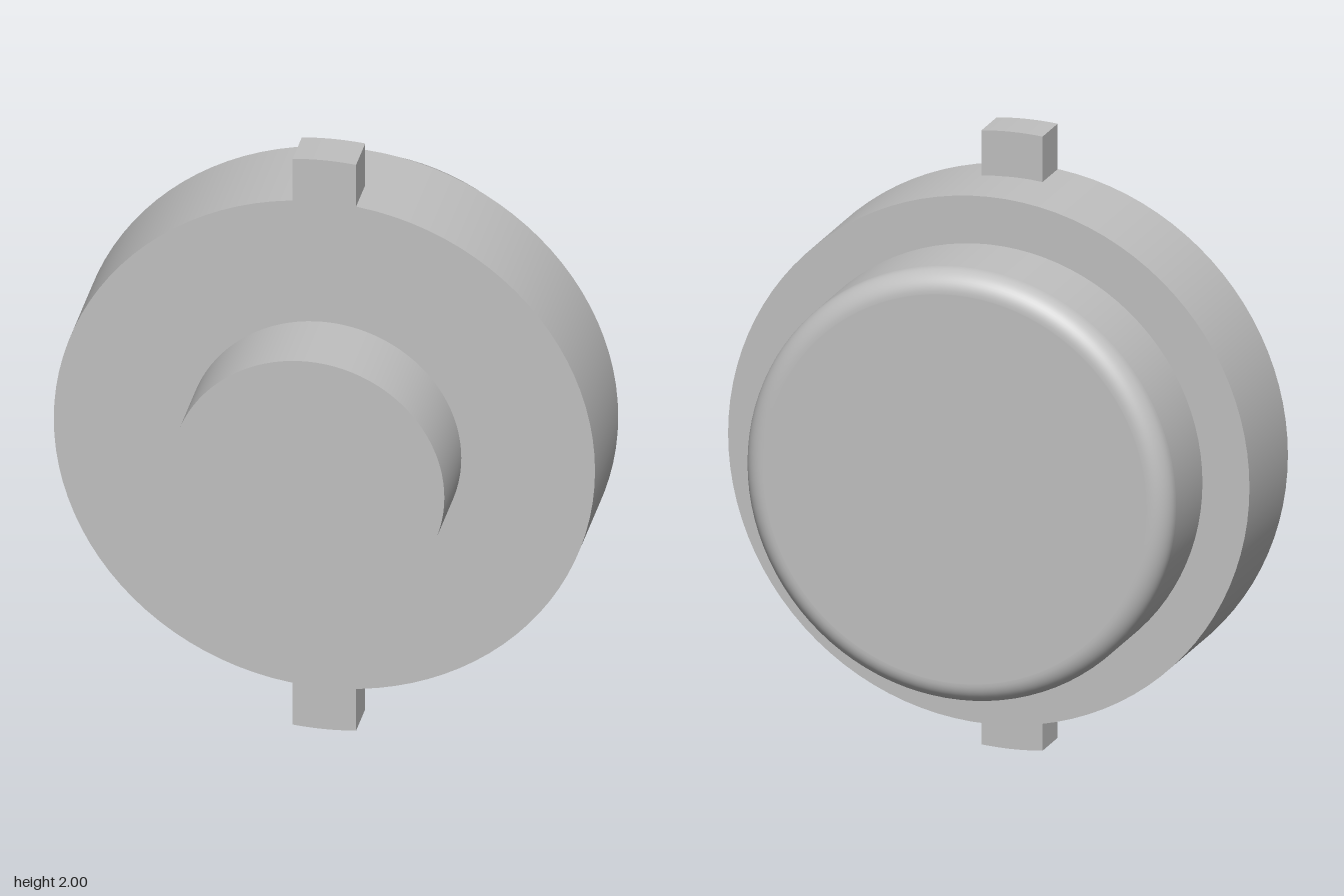
import * as THREE from 'three';

const SEGMENTS = 96;

export function createModel() {
  const group = new THREE.Group();
  const grey = new THREE.MeshStandardMaterial({ color: 0xc0c0c0 });
  grey.name = 'plain grey';

  const add = (name, geometry) => {
    const mesh = new THREE.Mesh(geometry, grey);
    mesh.name = name;
    mesh.position.y = 1;
    group.add(mesh);
    return mesh;
  };

  // Round disc lying along z
  const disc = (name, radius, back, front) => {
    const geometry = new THREE.CylinderGeometry(radius, radius, front - back, SEGMENTS);
    geometry.rotateX(Math.PI / 2).translate(0, 0, (front + back) / 2);
    return add(name, geometry);
  };

  const back = -0.47, flangeBack = -0.153, flangeFront = 0.207, front = 0.47;
  const flangeRadius = 0.854;
  disc('flange', flangeRadius, flangeBack, flangeFront);
  disc('frontBoss', 0.432, flangeFront, front);

  // Rear drum with a rounded rim; extra points keep the flat areas crisp
  const radius = 0.7, fillet = 0.07;
  const profile = [[0, back], [radius - fillet - 0.002, back]];
  for (let i = 0; i <= 12; i++) {
    const a = (i / 12) * Math.PI / 2;
    profile.push([radius - fillet + fillet * Math.sin(a), back + fillet - fillet * Math.cos(a)]);
  }
  profile.push([radius, back + fillet + 0.002], [radius, flangeBack]);
  const drum = new THREE.LatheGeometry(profile.map(([x, y]) => new THREE.Vector2(x, y)), SEGMENTS);
  add('rearDrum', drum.rotateX(Math.PI / 2));

  // Locating tabs with curved outer ends, top and bottom
  const half = 0.1, tabBack = 0.065;
  const outer = Math.acos(half), inner = Math.acos(half / flangeRadius);
  const tab = new THREE.Shape();
  tab.absarc(0, 0, 1, outer, Math.PI - outer, false);
  tab.absarc(0, 0, flangeRadius - 0.001, Math.PI - inner, inner, true);
  tab.closePath();
  const tabGeometry = new THREE.ExtrudeGeometry(tab, {
    depth: flangeFront - tabBack, bevelEnabled: false, curveSegments: 8,
  });
  tabGeometry.translate(0, 0, tabBack);
  add('topTab', tabGeometry);
  add('bottomTab', tabGeometry).rotation.z = Math.PI;

  return group;
}
